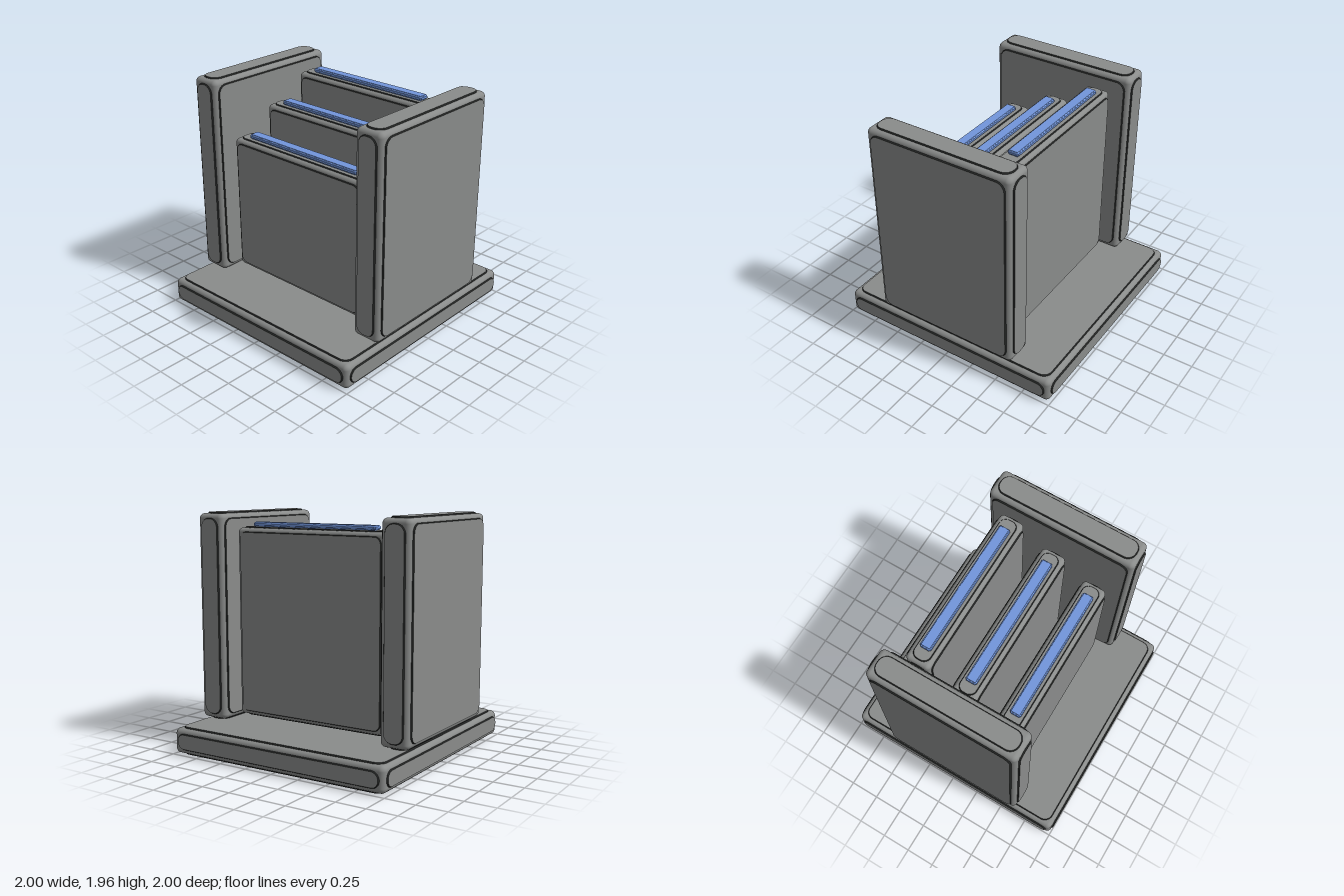
import * as THREE from 'three';
import { RoundedBoxGeometry } from 'three/addons/geometries/RoundedBoxGeometry.js';

const grey = new THREE.MeshStandardMaterial({ name: 'grey', color: 0x8a8c8b });
const dark = new THREE.MeshStandardMaterial({ name: 'darkRim', color: 0x222423 });
const blue = new THREE.MeshStandardMaterial({ name: 'blue', color: 0x7296dc });

// Rounded rectangle plate with sloped rim; its front face lies at z = lip
function plateGeometry(w, h, radius, lip, slope) {
  const r = Math.min(radius, w / 2 - 0.0005, h / 2 - 0.0005);
  const x = w / 2, y = h / 2;
  const s = new THREE.Shape();
  s.absarc(x - r, y - r, r, 0, Math.PI / 2);
  s.absarc(-x + r, y - r, r, Math.PI / 2, Math.PI);
  s.absarc(-x + r, -y + r, r, Math.PI, Math.PI * 1.5);
  s.absarc(x - r, -y + r, r, Math.PI * 1.5, Math.PI * 2);
  const geo = new THREE.ExtrudeGeometry(s, {
    depth: 0.001, bevelEnabled: true, bevelThickness: lip, bevelSize: slope,
    bevelSegments: 1, curveSegments: 6,
  });
  return geo.translate(0, 0, -0.001);
}

// Rounded block with a slightly raised, rimmed panel on each of its six faces
function block(name, size, center, material, rim, { lip, inset, radius, corner, slope }) {
  const group = new THREE.Group();
  group.name = name;
  group.position.set(...center);
  const [w, h, d] = size;
  const core = new THREE.Mesh(
    new RoundedBoxGeometry(w - 2 * lip, h - 2 * lip, d - 2 * lip, 4, radius), material);
  core.name = name + 'Body';
  group.add(core);
  const faces = [
    ['front', w, h, d, 0, 0], ['back', w, h, d, 0, Math.PI],
    ['left', d, h, w, 0, Math.PI / 2], ['right', d, h, w, 0, -Math.PI / 2],
    ['top', w, d, h, -Math.PI / 2, 0], ['bottom', w, d, h, Math.PI / 2, 0],
  ];
  for (const [side, a, b, depth, rx, ry] of faces) {
    const geo = plateGeometry(a - 2 * inset, b - 2 * inset, corner, lip, slope);
    geo.translate(0, 0, depth / 2 - lip);
    const panel = new THREE.Mesh(geo, [material, rim]);
    panel.name = name + 'Panel_' + side;
    panel.rotation.set(rx, ry, 0);
    group.add(panel);
  }
  return group;
}

export function createModel() {
  const model = new THREE.Group();
  model.name = 'steppedRack';
  const large = { lip: 0.011, inset: 0.055, radius: 0.042, corner: 0.07, slope: 0.007 };
  const medium = { lip: 0.009, inset: 0.046, radius: 0.036, corner: 0.055, slope: 0.006 };
  const small = { lip: 0.004, inset: 0.011, radius: 0.008, corner: 0.006, slope: 0.002 };

  // Base slab
  model.add(block('base', [2, 0.231, 2], [0, 0.1155, 0], grey, dark, large));

  // Side walls
  for (const [name, s] of [['leftWall', 1], ['rightWall', -1]]) {
    model.add(block(name, [0.27, 1.732, 1.3], [s * 0.865, 1.098, 0], grey, dark, large));
  }

  // Three dividers rising towards the back, each with a blue strip on top
  const names = ['front', 'middle', 'back'];
  names.forEach((name, i) => {
    const z = 0.386 * (1 - i), bottom = 0.27, top = 1.458 + 0.194 * i;
    model.add(block(name + 'Divider', [1.416, top - bottom, 0.228],
      [0, (top + bottom) / 2, z], grey, dark, medium));
    model.add(block(name + 'Strip', [1.156, 0.038, 0.096], [0, top + 0.019, z], blue, blue, small));
  });
  return model;
}
